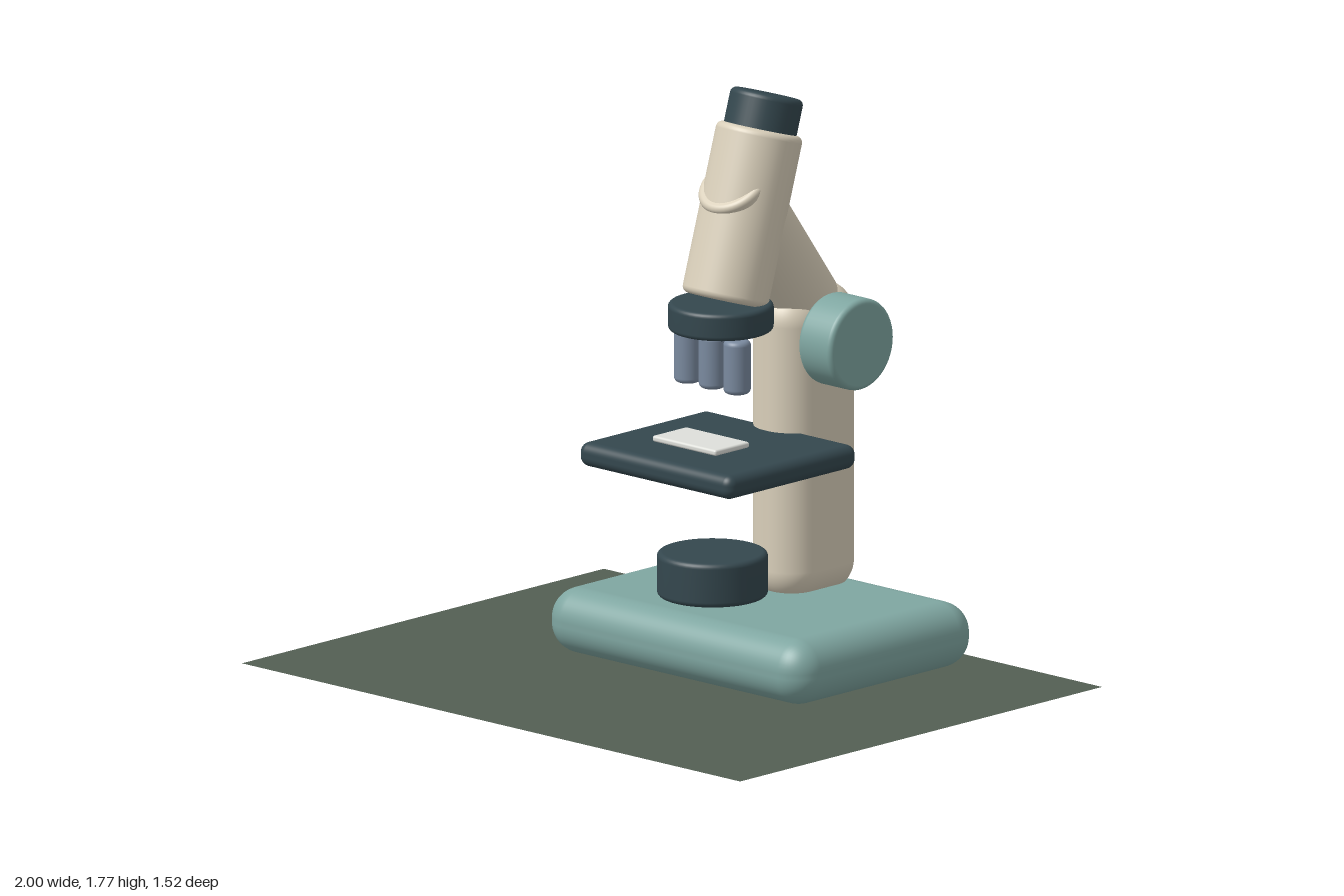
import * as THREE from 'three';
import { RoundedBoxGeometry } from 'three/addons/geometries/RoundedBoxGeometry.js';

const material = (name, color) => {
  const m = new THREE.MeshStandardMaterial({ color });
  m.name = name;
  return m;
};

export function createModel() {
  const group = new THREE.Group();
  const teal = material('teal', 0x7fa6a1);
  const cream = material('cream', 0xd9cfba);
  const dark = material('dark slate', 0x34474e);
  const steel = material('blue steel', 0x7a8a9f);
  const glass = material('pale glass', 0xdedfda);
  const mat = material('mat green', 0x535f53);
  mat.side = THREE.DoubleSide;
  const X = 0.193; // instrument's centre line

  const add = (name, geometry, mtl, x, y, z) => {
    const mesh = new THREE.Mesh(geometry, mtl);
    mesh.name = name;
    mesh.position.set(x, y, z);
    group.add(mesh);
    return mesh;
  };
  const box = (w, h, d, r) => new RoundedBoxGeometry(w, h, d, 6, r);

  // Cylinder along y with softly rounded rims
  const roundedCylinder = (radius, height, bevel) => {
    const pts = [new THREE.Vector2(0, -height / 2)];
    for (const [side, start] of [[-1, -Math.PI / 2], [1, 0]]) {
      for (let i = 0; i <= 6; i++) {
        const a = start + (i / 6) * Math.PI / 2;
        pts.push(new THREE.Vector2(
          radius - bevel + Math.cos(a) * bevel,
          side * (height / 2 - bevel) + Math.sin(a) * bevel));
      }
    }
    pts.push(new THREE.Vector2(0, height / 2));
    return new THREE.LatheGeometry(pts, 48);
  };

  // Ground mat
  add('groundMat', new THREE.PlaneGeometry(2, 1.525), mat, 0, 0, 0).rotation.x = -Math.PI / 2;

  // Base, column and sloping arm
  add('base', box(1.045, 0.195, 0.768, 0.09), teal, X, 0.148, -0.17);
  add('column', box(0.216, 0.935, 0.318, 0.1), cream, X, 0.678, -0.352);
  add('arm', roundedCylinder(0.11, 0.525, 0.016), cream, X, 1.295, -0.202).rotation.x = 0.63;

  // Focus knob on the left side
  add('focusKnob', roundedCylinder(0.136, 0.134, 0.016), teal, 0.374, 1.005, -0.341).rotation.z = Math.PI / 2;

  // Tilted body tube and eyepiece
  const tilt = 0.3;
  const along = (t) => [X, 1.4 + t * Math.cos(tilt), -0.094 - t * Math.sin(tilt)];
  add('bodyTube', roundedCylinder(0.128, 0.51, 0.02), cream, ...along(0)).rotation.x = -tilt;
  add('eyepiece', roundedCylinder(0.108, 0.17, 0.018), dark, ...along(0.275)).rotation.x = -tilt;

  // Nosepiece with three objectives
  add('nosepiece', roundedCylinder(0.154, 0.082, 0.014), dark, X, 1.113, -0.003);
  for (const i of [-1, 0, 1]) {
    add('objective', roundedCylinder(0.04, 0.16, 0.015), steel, X + i * 0.099, 0.984, 0.032);
  }

  // Stage, glass slide and lamp
  add('stage', box(0.614, 0.072, 0.545, 0.03), dark, X, 0.696, 0.01);
  add('slide', box(0.256, 0.018, 0.145, 0.007), glass, X, 0.75, 0.081);
  add('lamp', roundedCylinder(0.162, 0.132, 0.016), dark, X, 0.347, 0.032);

  return group;
}
